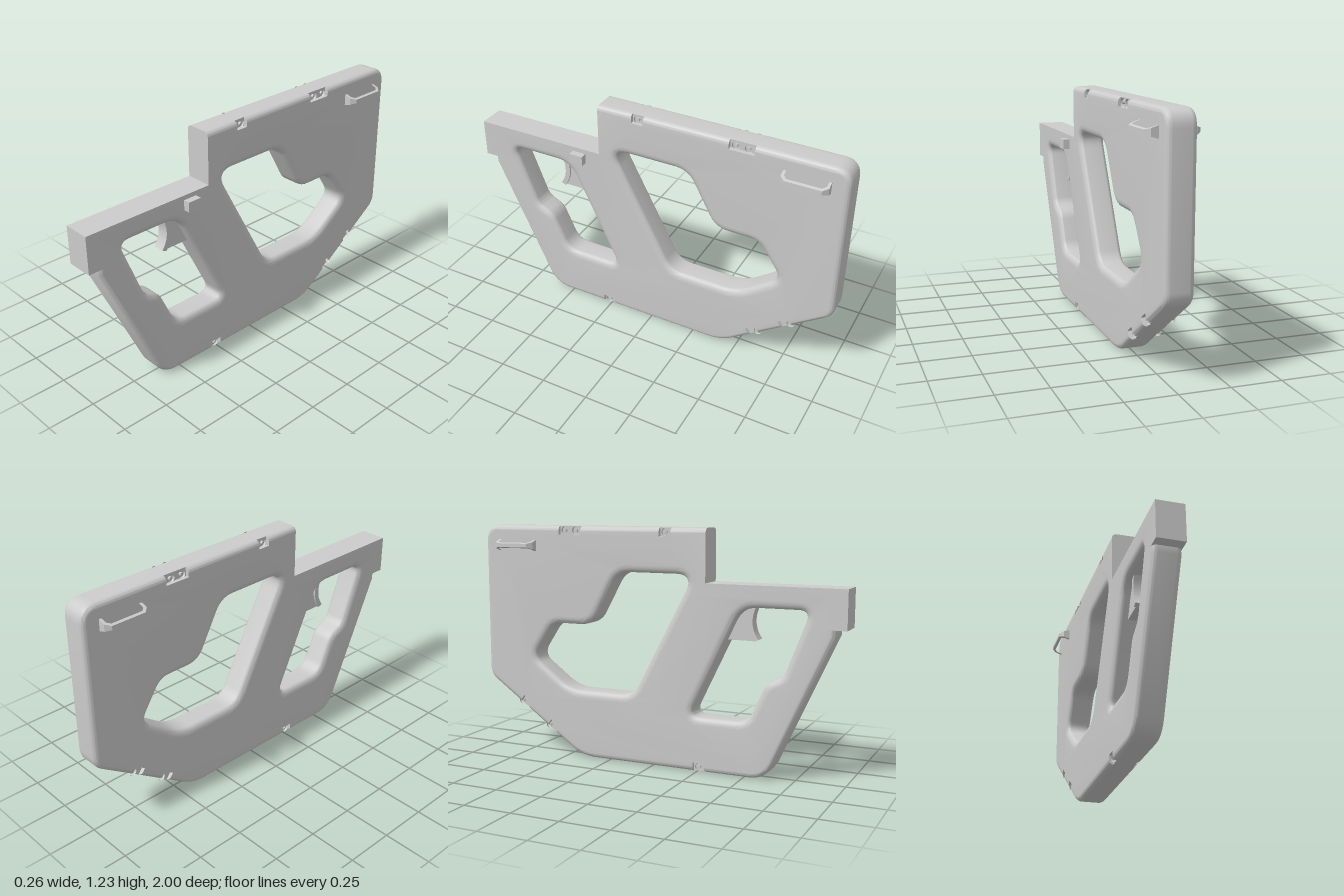
import * as THREE from 'three';
import { toCreasedNormals } from 'three/addons/utils/BufferGeometryUtils.js';

const HALF = 0.07, BEVEL = 0.025, CLIP = 0.05, POCKET = 0.045;
const mat = new THREE.MeshStandardMaterial({ color: 0xcccccc });
const V = (x, y) => new THREE.Vector2(x, y);

// Polygon from [z, y, cornerLength, straightEdge]; the plane's horizontal axis is -z
function rounded(corners) {
  const out = [];
  corners.forEach(([z, y, t = 0, hard = false], i) => {
    const p = V(-z, y);
    if (!t) { out.push({ p, hard }); return; }
    const toward = (c) => V(-c[0], c[1]).sub(p).setLength(t).add(p);
    const n = corners.length;
    const curve = new THREE.QuadraticBezierCurve(
      toward(corners[(i + n - 1) % n]), p, toward(corners[(i + 1) % n]));
    curve.getPoints(7).forEach((q) => out.push({ p: q, hard }));
  });
  return out;
}

const outline = rounded([
  [0.614, 0, 0.09], [-0.42, 0, 0.08], [-1, 0.405, 0.05], [-1, 1.23, 0.085],
  [0.29, 1.23, 0, true], [0.29, 0.96, 0, true], [1, 0.96, 0, true], [1, 0.765, 0, true],
  [0.945, 0.765], [0.945, 0.73],
]);
const gripHole = rounded([
  [0.82, 0.85, 0.06], [0.475, 0.85, 0.08], [0.2, 0.28, 0.065], [0.515, 0.28, 0.06],
  [0.605, 0.48, 0.035], [0.695, 0.525, 0.03],
]);
const stockHole = rounded([
  [0.223, 1, 0.1], [-0.2, 1, 0.07], [-0.355, 0.715, 0.07], [-0.59, 0.715, 0.05],
  [-0.715, 0.525, 0.06], [-0.49, 0.36, 0.08], [-0.115, 0.36, 0.07],
]);
// Open pockets along the rim: z, y, half width
const pockets = [[0.07, 1.23, 0.032], [-0.475, 1.23, 0.065], [0.26, 0, 0.032],
  [-0.606, 0.13, 0.032], [-0.776, 0.249, 0.032]];
const screws = [[0.07, 1.207], [-0.443, 1.207], [-0.507, 1.207], [0.26, 0.024],
  [-0.62, 0.153], [-0.79, 0.273]];

// Offset a loop by d into the material; cut the pockets where asked
function contour(loop, d, notches = []) {
  const n = loop.length;
  const edges = loop.map((v, i) => {
    const q = loop[(i + 1) % n].p, u = q.clone().sub(v.p), length = u.length();
    u.divideScalar(length);
    return { p: v.p, u, length, n: V(-u.y, u.x), d: v.hard ? 0 : d };
  });
  const out = [];
  edges.forEach((b, i) => {
    const a = edges[(i + n - 1) % n];
    const det = a.n.x * b.n.y - a.n.y * b.n.x;
    const shift = Math.abs(det) < 1e-5 ? b.n.clone().multiplyScalar(b.d)
      : V((a.d * b.n.y - b.d * a.n.y) / det, (a.n.x * b.d - b.n.x * a.d) / det);
    out.push(shift.add(b.p));
    notches.map(([z, y, w]) => {
      const r = V(-z, y).sub(b.p);
      return { s: r.dot(b.u), gap: Math.abs(r.dot(b.n)), w };
    }).filter((k) => k.gap < 0.02 && k.s > k.w && k.s < b.length - k.w)
      .sort((k, m) => k.s - m.s)
      .forEach(({ s, w }) => {
        [[-w, b.d], [-w, POCKET], [w, POCKET], [w, b.d]].forEach(([along, deep]) =>
          out.push(b.p.clone().addScaledVector(b.u, s + along).addScaledVector(b.n, deep)));
      });
  });
  return out;
}

// Stack contours through levels of [x, inset] and close the chosen ends
function loft(pos, levels, notches, capStart, capEnd) {
  const rings = levels.map(([, d]) => [contour(outline, d, notches),
    contour(gripHole, d * 1.6), contour(stockHole, d * 1.6)]);
  const put = (p, x) => pos.push(p.x, p.y, x);
  for (let k = 0; k < levels.length - 1; k++) {
    const x0 = levels[k][0], x1 = levels[k + 1][0];
    rings[k].forEach((lo, j) => lo.forEach((a, i) => {
      const hi = rings[k + 1][j], m = (i + 1) % lo.length;
      put(a, x0); put(lo[m], x0); put(hi[m], x1);
      put(a, x0); put(hi[m], x1); put(hi[i], x1);
    }));
  }
  const cap = (k, flip) => {
    const all = rings[k].flat();
    for (const f of THREE.ShapeUtils.triangulateShape(rings[k][0], rings[k].slice(1))) {
      (flip ? [f[2], f[1], f[0]] : f).forEach((i) => put(all[i], levels[k][0]));
    }
  };
  if (capStart) cap(0, true);
  if (capEnd) cap(levels.length - 1, false);
}

function bodyGeometry() {
  const level = (t) => [HALF - BEVEL + BEVEL * Math.sin(t), BEVEL * (1 - Math.cos(t))];
  const mirror = (list) => list.map(([x, d]) => [-x, d]).reverse();
  const split = Math.asin((CLIP - HALF + BEVEL) / BEVEL), side = [];
  for (let i = 0; i <= 6; i++) side.push(level(split + (Math.PI / 2 - split) * i / 6));
  const core = [level(0), level(split)], pos = [];
  loft(pos, [...mirror(core), ...core], [], true, true);
  loft(pos, side, pockets, false, true);
  loft(pos, mirror(side), pockets, true, false);
  const g = new THREE.BufferGeometry();
  g.setAttribute('position', new THREE.Float32BufferAttribute(pos, 3));
  return toCreasedNormals(g.rotateY(Math.PI / 2), 0.6);
}

function add(parent, name, geometry, x = 0, y = 0, z = 0) {
  const m = new THREE.Mesh(geometry, mat);
  m.name = name;
  m.position.set(x, y, z);
  parent.add(m);
  return m;
}

// Side profile in the z-y plane, extruded across x
function plate(shape, width) {
  const g = new THREE.ExtrudeGeometry(shape, { depth: width, bevelEnabled: false, curveSegments: 10 });
  return toCreasedNormals(g.translate(0, 0, -width / 2).rotateY(Math.PI / 2), 0.6);
}

// Strap loop: trapezoid ring that gets thinner towards its outer bar
function strapLoopGeometry() {
  const ring = (s, x0) => [[-0.115 + s, x0], [0.115 - s, x0], [0.115 - s, 0.105 - s / 2],
    [0.09 - s / 2, 0.128 - s], [-0.09 + s / 2, 0.128 - s], [-0.115 + s, 0.105 - s / 2]]
    .map(([z, x]) => V(x, z));
  const shape = new THREE.Shape(ring(0, 0.06));
  shape.holes.push(new THREE.Path(ring(0.014, 0.066)));
  const g = new THREE.ExtrudeGeometry(shape, { depth: 2, bevelEnabled: false });
  g.translate(0, 0, -1).rotateX(-Math.PI / 2);
  const p = g.attributes.position;
  for (let i = 0; i < p.count; i++) {
    p.setY(i, p.getY(i) * THREE.MathUtils.mapLinear(p.getX(i), 0.07, 0.128, 0.029, 0.01));
  }
  g.computeVertexNormals();
  return g;
}

export function createModel() {
  const model = new THREE.Group();
  model.name = 'stockBody';
  add(model, 'body', bodyGeometry());

  // Trigger: a curved blade with a narrower web behind it
  const blade = new THREE.Shape();
  blade.moveTo(-0.55, 0.87);
  blade.quadraticCurveTo(-0.495, 0.77, -0.555, 0.69);
  blade.lineTo(-0.53, 0.68);
  blade.quadraticCurveTo(-0.47, 0.77, -0.52, 0.87);
  add(model, 'triggerBlade', plate(blade, 0.06));
  const web = new THREE.Shape();
  web.moveTo(-0.53, 0.87);
  web.quadraticCurveTo(-0.48, 0.77, -0.535, 0.682);
  web.lineTo(-0.38, 0.682);
  web.lineTo(-0.42, 0.87);
  add(model, 'triggerWeb', plate(web, 0.04));

  // Push button on the left side only
  add(model, 'button', new THREE.BoxGeometry(0.055, 0.052, 0.074), 0.0775, 0.91, 0.408);

  // Strap loops and pocket screws on both sides
  const loop = strapLoopGeometry();
  const screw = new THREE.LatheGeometry([V(0.009, 0), V(0.009, 0.012), V(0.02, 0.012), V(0.02, 0)], 20);
  const screwGeometry = toCreasedNormals(screw.rotateZ(-Math.PI / 2), 0.6);
  for (const s of [1, -1]) {
    const side = new THREE.Group();
    side.name = s > 0 ? 'leftFittings' : 'rightFittings';
    side.scale.x = s;
    add(side, 'strapLoop', loop, 0, 1.125, -0.797);
    screws.forEach(([z, y]) => add(side, 'screw', screwGeometry, CLIP, y, z));
    model.add(side);
  }
  return model;
}
